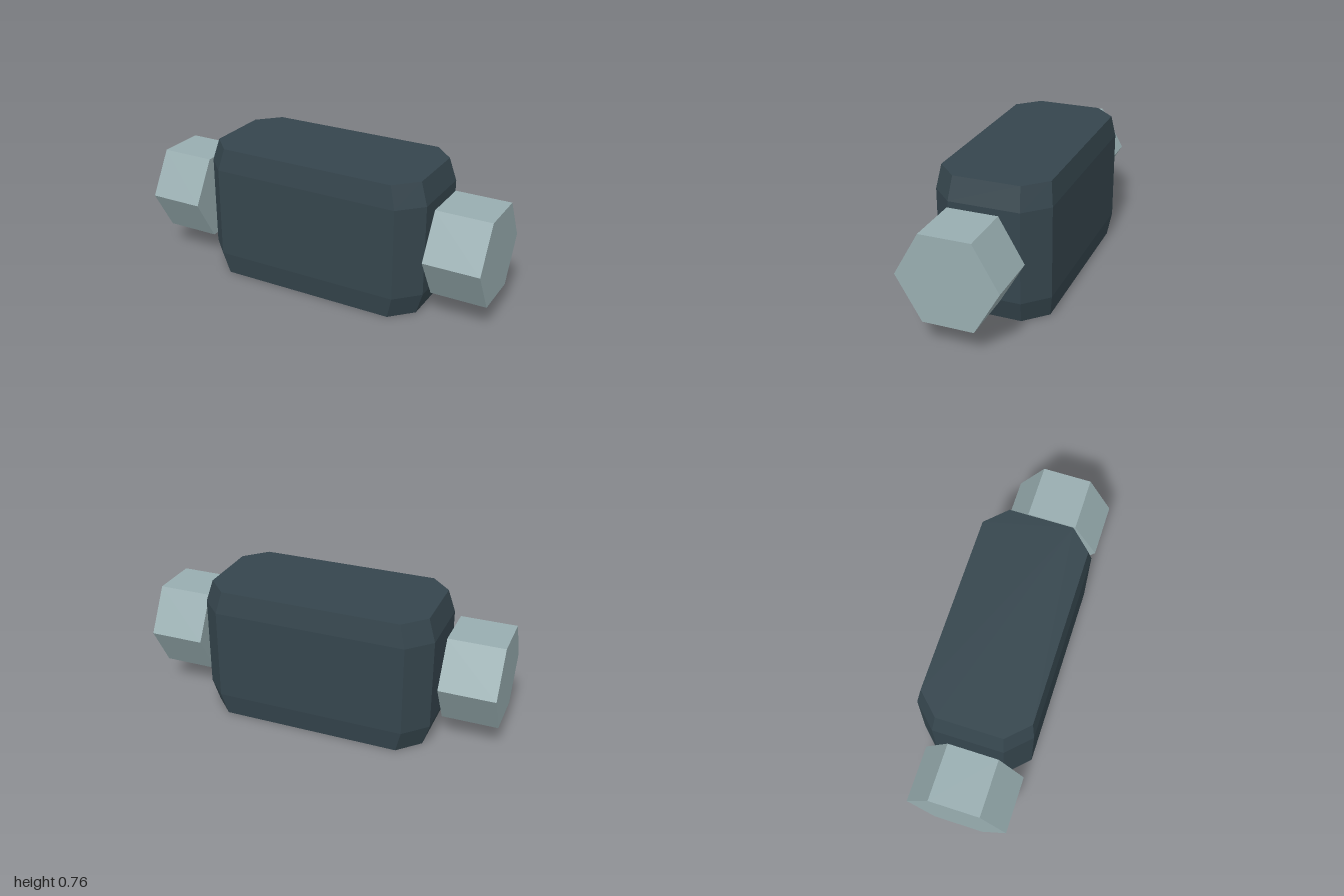
import * as THREE from 'three';

// Chamfered rectangle in plan, counter-clockwise seen from above
function ring(y, x, z, cx, cz) {
  return [[x, cz], [x, -cz], [cx, -z], [-cx, -z], [-x, -cz], [-x, cz], [-cx, z], [cx, z]]
    .map(([px, pz]) => [px, y, pz]);
}

// Skin stacked rings and close both ends
function loft(rings) {
  const positions = [];
  const tri = (...corners) => corners.forEach((c) => positions.push(...c));
  const n = rings[0].length;
  for (let r = 0; r < rings.length - 1; r++) {
    const low = rings[r], high = rings[r + 1];
    for (let i = 0; i < n; i++) {
      const j = (i + 1) % n;
      tri(low[i], low[j], high[j]);
      tri(low[i], high[j], high[i]);
    }
  }
  const bottom = rings[0], top = rings[rings.length - 1];
  for (let i = 1; i < n - 1; i++) {
    tri(top[0], top[i], top[i + 1]);
    tri(bottom[0], bottom[i + 1], bottom[i]);
  }
  const geometry = new THREE.BufferGeometry();
  geometry.setAttribute('position', new THREE.Float32BufferAttribute(positions, 3));
  geometry.computeVertexNormals();
  return geometry;
}

export function createModel() {
  const group = new THREE.Group();
  group.name = 'hexEndedBlock';

  const darkSlate = new THREE.MeshStandardMaterial({ color: 0x35454d, flatShading: true });
  darkSlate.name = 'dark slate';
  const paleSteel = new THREE.MeshStandardMaterial({ color: 0x98adb0, flatShading: true });
  paleSteel.name = 'pale steel';

  // Body: chamfered block tapering at its top and bottom
  const end = [0.615, 0.298, 0.5, 0.181];
  const middle = [0.654, 0.317, 0.532, 0.193];
  const body = new THREE.Mesh(loft([
    ring(0, ...end), ring(0.125, ...middle), ring(0.633, ...middle), ring(0.758, ...end),
  ]), darkSlate);
  body.name = 'body';
  group.add(body);

  // Hexagonal end pieces, floating just clear of the body
  const hex = new THREE.CylinderGeometry(0.275, 0.275, 0.308, 6).rotateZ(Math.PI / 2);
  for (const side of [1, -1]) {
    const endPiece = new THREE.Mesh(hex, paleSteel);
    endPiece.name = side > 0 ? 'leftHexEnd' : 'rightHexEnd';
    endPiece.position.set(side * 0.846, 0.38, 0.042);
    group.add(endPiece);
  }
  return group;
}
